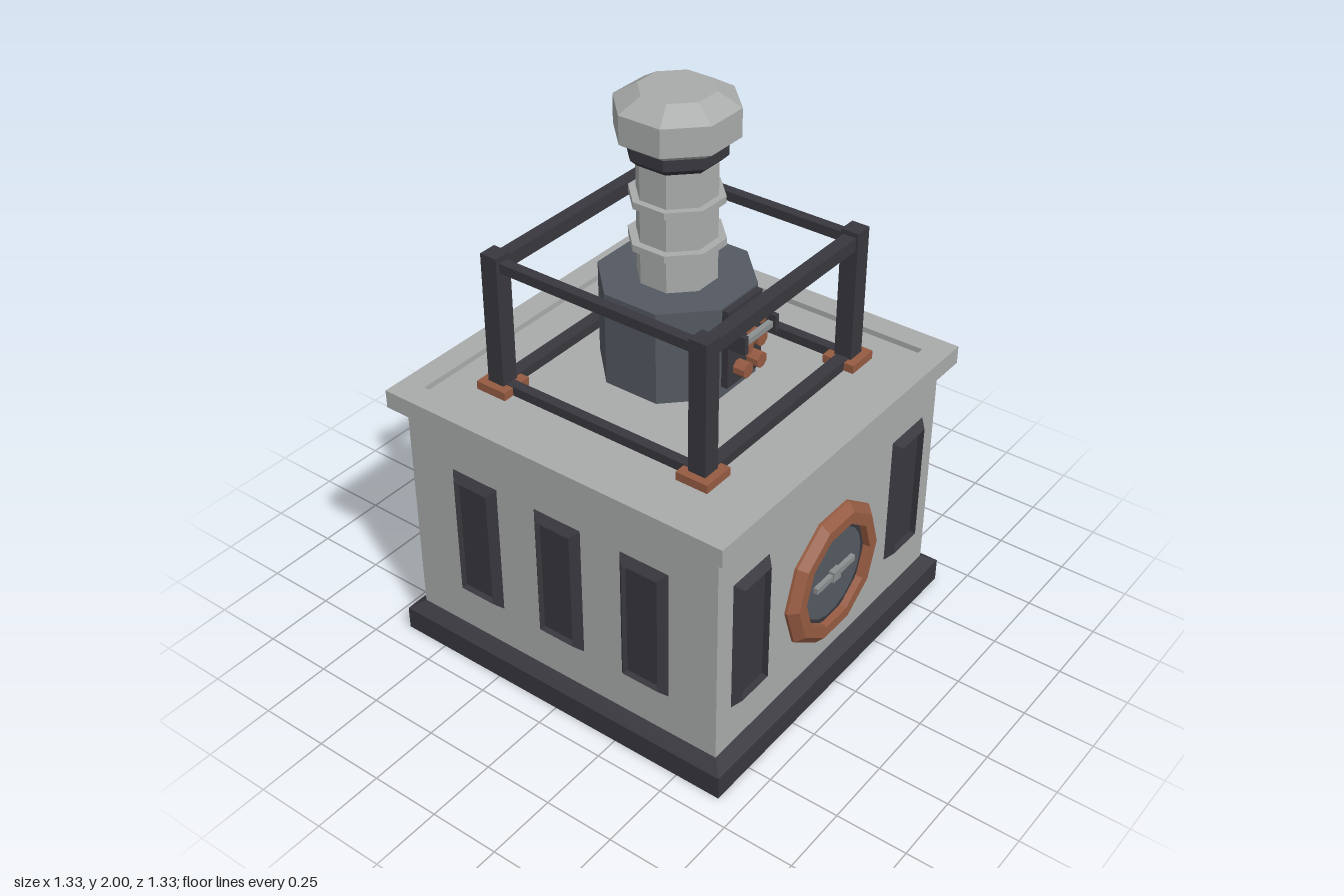
import * as THREE from 'three';

const mat = (name, color) => {
  const m = new THREE.MeshStandardMaterial({ color });
  m.name = name;
  return m;
};

// Faceted solid of n sides from [apothem, height] points, flats facing the axes
function faceted(points, n, phi = Math.PI / n) {
  const k = 1 / Math.cos(Math.PI / n);
  const pts = points.map(([r, y]) => new THREE.Vector2(r * k, y));
  const g = new THREE.LatheGeometry(pts, n, phi).toNonIndexed();
  g.computeVertexNormals();
  return g;
}

// Rectangular bevelled frame with a sunken floor, facing +z
function frameGeometry(w, h) {
  const g = faceted([[w, 0], [w - 0.025, 0.026], [w - 0.025, 0.003], [0, 0.003]], 4);
  const p = g.attributes.position;
  for (let i = 0; i < p.count; i++) {
    const z = p.getZ(i);
    if (Math.abs(z) > 1e-3) p.setZ(i, z + Math.sign(z) * (h - w));
  }
  g.rotateX(Math.PI / 2);
  g.computeVertexNormals();
  return g;
}

export function createModel() {
  const root = new THREE.Group();
  root.name = 'machine';
  const grey = mat('lightGrey', 0xa9abab);
  const steel = mat('steel', 0x8c8f8f);
  const dark = mat('charcoal', 0x38373e);
  const slate = mat('slate', 0x545a62);
  const copper = mat('copper', 0x965b42);

  const add = (parent, name, geo, material, x = 0, y = 0, z = 0) => {
    const m = new THREE.Mesh(geo, material);
    m.name = name;
    m.position.set(x, y, z);
    parent.add(m);
    return m;
  };
  const box = (parent, name, material, w, h, d, x, y, z) =>
    add(parent, name, new THREE.BoxGeometry(w, h, d), material, x, y, z);
  const group = (name) => {
    const g = new THREE.Group();
    g.name = name;
    root.add(g);
    return g;
  };

  // Square cabinet with bevelled plinth and a sunken top
  add(root, 'plinth', faceted([[0, 0], [0.665, 0], [0.665, 0.085], [0.62, 0.115], [0, 0.115]], 4), dark);
  add(root, 'cabinet', faceted([[0.62, 0.11], [0.62, 0.91]], 4), grey);
  add(root, 'lid', faceted([[0, 0.907], [0.62, 0.907], [0.665, 0.935], [0.665, 1],
    [0.578, 1], [0.578, 0.98], [0, 0.98]], 4), grey);

  // Recessed panels: two on the front, three on each other side
  const panelGeo = frameGeometry(0.0935, 0.247);
  for (let s = 0; s < 4; s++) {
    const side = group('panelSide');
    side.rotation.y = s * Math.PI / 2;
    for (const x of s === 0 ? [-0.448, 0.448] : [-0.343, 0, 0.343])
      add(side, 'panel', panelGeo, dark, x, 0.5165, 0.62);
  }

  // Round hatch on the front
  const hatch = group('hatch');
  hatch.position.set(0, 0.456, 0.62);
  add(hatch, 'hatchRing', faceted([[0.246, 0], [0.246, 0.01], [0.218, 0.038], [0.178, 0.038], [0.174, 0.008]],
    10, Math.PI / 2).rotateX(Math.PI / 2), copper);
  add(hatch, 'hatchSeal', faceted([[0.18, 0.014], [0.163, 0.014]], 20).rotateX(Math.PI / 2), dark);
  add(hatch, 'hatchDoor', faceted([[0.182, 0.012], [0, 0.012]], 20).rotateX(Math.PI / 2), slate);
  box(hatch, 'hatchBar', steel, 0.22, 0.022, 0.016, 0, 0, 0.02);
  box(hatch, 'hatchHub', steel, 0.042, 0.042, 0.02, 0, 0, 0.022);

  // Cage: posts on copper feet, rails above and below
  const cage = group('cage');
  for (const sx of [-0.4, 0.4]) {
    for (const sz of [-0.4, 0.4]) {
      box(cage, 'cagePost', dark, 0.064, 0.5, 0.064, sx, 1.23, sz);
      box(cage, 'cageFoot', copper, 0.118, 0.03, 0.118, sx, 0.995, sz);
    }
    box(cage, 'sideTopRail', dark, 0.036, 0.034, 0.76, sx, 1.442, 0);
    box(cage, 'sideBottomRail', dark, 0.036, 0.034, 0.76, sx, 0.996, 0);
    box(cage, 'crossTopRail', dark, 0.76, 0.047, 0.047, 0, 1.44, sx);
    box(cage, 'crossBottomRail', dark, 0.76, 0.034, 0.047, 0, 0.996, sx);
  }

  // Octagonal housing, column and cap
  add(root, 'neck', faceted([[0.12, 0.98], [0.12, 1.04]], 8), dark);
  add(root, 'housing', faceted([[0, 1.034], [0.241, 1.034], [0.241, 1.363], [0, 1.363]], 8), slate);
  add(root, 'column', faceted([[0.122, 1.36], [0.122, 1.8]], 8), grey);
  for (const [y, r] of [[1.497, 0.147], [1.644, 0.144]])
    add(root, 'columnRing', faceted([[0.12, y - 0.012], [r, y - 0.012], [r, y + 0.012], [0.12, y + 0.012]], 8), grey);
  add(root, 'collar', faceted([[0, 1.775], [0.128, 1.775], [0.15, 1.797], [0.15, 1.838], [0, 1.838]], 8), dark);
  add(root, 'cap', faceted([[0, 1.835], [0.15, 1.835], [0.185, 1.86], [0.185, 1.955], [0.114, 2], [0, 2]], 8), grey);

  // Front knob plate with guard handle
  const knobs = group('knobPlate');
  box(knobs, 'backPlate', dark, 0.18, 0.28, 0.035, 0, 1.216, 0.2475);
  const knobGeo = faceted([[0.025, 0], [0.025, 0.042], [0, 0.042]], 8).rotateX(Math.PI / 2);
  for (const x of [-0.037, 0.037])
    for (const y of [1.3, 1.216, 1.135]) add(knobs, 'knob', knobGeo, copper, x, y, 0.265);
  for (const x of [-0.082, 0.082]) box(knobs, 'handleEar', dark, 0.018, 0.063, 0.066, x, 1.257, 0.296);
  box(knobs, 'handleBar', steel, 0.15, 0.02, 0.02, 0, 1.255, 0.31);

  // Control box on the left side
  const control = group('controlBox');
  box(control, 'controlBack', dark, 0.02, 0.2, 0.186, 0.246, 1.22, 0);
  box(control, 'controlFace', steel, 0.03, 0.164, 0.148, 0.266, 1.22, 0);
  box(control, 'screen', dark, 0.009, 0.058, 0.106, 0.2855, 1.255, 0);
  for (const z of [-0.037, 0.037]) box(control, 'button', copper, 0.017, 0.03, 0.03, 0.289, 1.172, z);

  return root;
}
